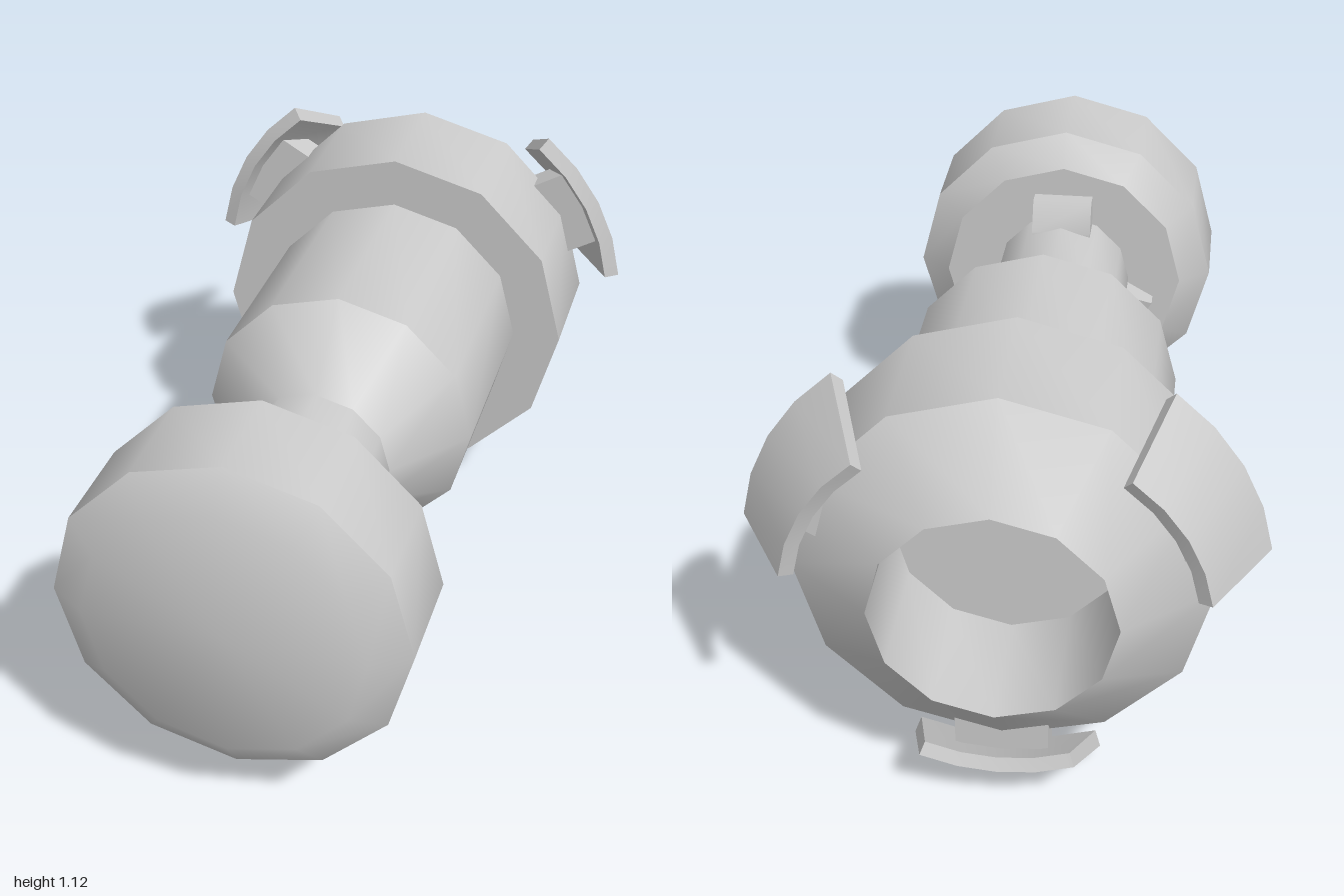
import * as THREE from 'three';
import { toCreasedNormals } from 'three/addons/utils/BufferGeometryUtils.js';

const material = new THREE.MeshStandardMaterial({ color: 0xcccccc });
const AXIS_Y = 0.625;

function part(name, geometry) {
  const mesh = new THREE.Mesh(toCreasedNormals(geometry, 0.6), material);
  mesh.name = name;
  return mesh;
}

// Twelve-sided turned part around the z axis; profile is [z, radius] from back to front
function turned(name, profile) {
  const points = profile.map(([z, r]) => new THREE.Vector2(r, z));
  return part(name, new THREE.LatheGeometry(points, 12).rotateX(Math.PI / 2));
}

// Block below the axis: a [z, radius] outline extruded sideways
function block(name, outline, width) {
  const shape = new THREE.Shape(outline.map(([z, r]) => new THREE.Vector2(z, -r)));
  const geometry = new THREE.ExtrudeGeometry(shape, { depth: width, bevelEnabled: false });
  return part(name, geometry.translate(0, 0, -width / 2).rotateY(-Math.PI / 2));
}

// Curved plate: a four-cornered [z, radius] section swept around the axis, with closed ends
function curvedPlate(name, section, halfAngle, segments) {
  const positions = [], index = [];
  for (let i = 0; i <= segments; i++) {
    const a = halfAngle * (2 * i / segments - 1);
    for (const [z, r] of section) positions.push(r * Math.sin(a), -r * Math.cos(a), z);
  }
  for (let i = 0; i < segments; i++) {
    for (let j = 0; j < 4; j++) {
      const a = i * 4 + j, b = i * 4 + (j + 1) % 4;
      index.push(a, b, b + 4, a, b + 4, a + 4);
    }
  }
  const e = segments * 4;
  index.push(0, 2, 1, 0, 3, 2, e, e + 1, e + 2, e, e + 2, e + 3);
  const geometry = new THREE.BufferGeometry();
  geometry.setAttribute('position', new THREE.Float32BufferAttribute(positions, 3));
  geometry.setIndex(index);
  return part(name, geometry);
}

export function createModel() {
  const model = new THREE.Group();
  model.name = 'model';
  const body = new THREE.Group();
  body.name = 'body';
  body.position.y = AXIS_Y;
  model.add(body);

  // Rear head with a recessed opening
  body.add(turned('rearHead', [
    [-0.67, 0], [-0.67, 0.29], [-1, 0.29], [-0.84, 0.498], [-0.495, 0.498], [-0.495, 0.33],
  ]));
  // Barrel tapering into the neck
  body.add(turned('barrel', [[-0.5, 0.364], [0.06, 0.364], [0.265, 0.197]]));
  body.add(turned('neck', [[0.265, 0.197], [0.62, 0.197]]));
  // Chamfered front knob
  body.add(turned('frontKnob', [
    [0.61, 0], [0.61, 0.35], [0.67, 0.438], [0.94, 0.438], [1, 0.345], [1, 0],
  ]));

  for (let i = 0; i < 3; i++) {
    const turn = i * Math.PI * 2 / 3;

    // Angled plate on a short post around the rear head
    const fin = new THREE.Group();
    fin.name = 'fin' + (i + 1);
    fin.add(curvedPlate('finPlate',
      [[-0.773, 0.625], [-0.973, 0.495], [-0.957, 0.463], [-0.755, 0.588]],
      THREE.MathUtils.degToRad(22.2), 4));
    fin.add(block('finPost',
      [[-0.785, 0.42], [-0.785, 0.573], [-0.875, 0.52], [-0.875, 0.40]], 0.23));
    fin.rotation.z = turn;
    body.add(fin);

    // Wedge cleat between the neck and the knob
    const cleat = block('cleat' + (i + 1),
      [[0.62, 0.17], [0.525, 0.17], [0.525, 0.183], [0.567, 0.265], [0.62, 0.265]], 0.17);
    cleat.rotation.z = Math.PI + turn;
    body.add(cleat);
  }
  return model;
}
